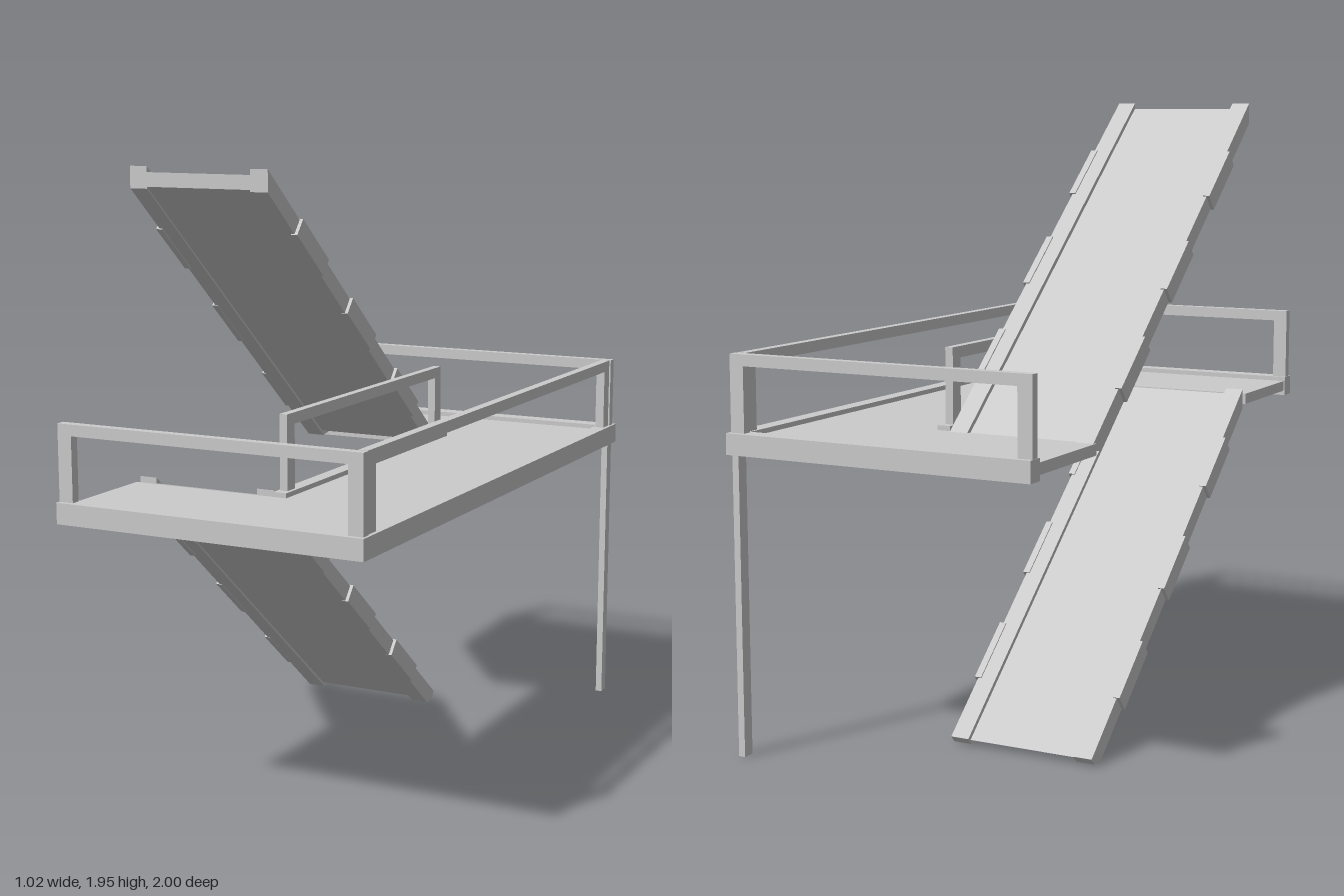
import * as THREE from 'three';

const material = new THREE.MeshStandardMaterial({ color: 0xcccccc, flatShading: true });

function add(parent, name, geometry) {
  const mesh = new THREE.Mesh(geometry, material);
  mesh.name = name;
  parent.add(mesh);
  return mesh;
}

// Box given by its limits on each axis
function box(parent, name, [x0, x1], [y0, y1], [z0, z1]) {
  const mesh = add(parent, name, new THREE.BoxGeometry(x1 - x0, y1 - y0, z1 - z0));
  mesh.position.set((x0 + x1) / 2, (y0 + y1) / 2, (z0 + z1) / 2);
  return mesh;
}

// Extrude a [z, y] outline sideways from x0 to x1
function sideProfile(points, x0, x1) {
  const shape = new THREE.Shape(points.map(([z, y]) => new THREE.Vector2(z, y)));
  return new THREE.ExtrudeGeometry(shape, { depth: x1 - x0, bevelEnabled: false })
    .rotateY(-Math.PI / 2)
    .translate(x1, 0, 0);
}

const DECK_LOW = 0.925, DECK_TOP = 0.99;
const SLOPE = 0.832;

// Hoop railing running along z, centred on its own origin
function createRailing(name, length, thickness = 0.03) {
  const rail = new THREE.Group();
  rail.name = name;
  const t = [-thickness / 2, thickness / 2], half = length / 2;
  box(rail, 'railTopBar', t, [1.19, 1.225], [-half, half]);
  for (const s of [-1, 1]) {
    const z = s * (half - 0.0235);
    box(rail, 'railPost', t, [DECK_TOP - 0.01, 1.19], [z - 0.0235, z + 0.0235]);
  }
  return rail;
}

// Sloping ramp: two stringers, a recessed panel and outer clamp blocks
function createRamp(name, endZ) {
  const ramp = new THREE.Group();
  ramp.name = name;
  const top = z => 0.521 + SLOPE * z, low = z => 0.453 + SLOPE * z;

  const stringer = [
    [-0.594, top(-0.594)], [-0.575, 0.006], [-0.538, 0],
    [endZ, low(endZ)], [endZ, top(endZ)],
  ].reverse();
  const panel = [
    [-0.58, top(-0.58) - 0.018], [-0.53, low(-0.53) + 0.006],
    [endZ, low(endZ) + 0.006], [endZ, top(endZ) - 0.018],
  ].reverse();
  // Outlines run anticlockwise so the faces point outwards
  add(ramp, 'rampPanel', sideProfile(panel.reverse(), -0.445, -0.075));
  stringer.reverse();
  for (const [x0, x1, bx] of [[-0.5, -0.44, -0.5], [-0.08, -0.02, -0.02]]) {
    add(ramp, 'stringer', sideProfile(stringer, x0, x1));
    for (const z of [-0.324, 0, 0.328]) {
      const block = add(ramp, 'clampBlock', new THREE.BoxGeometry(0.022, 0.06, 0.215));
      block.position.set(bx, 0.487 + SLOPE * z, z);
      block.rotation.x = -Math.atan(SLOPE);
    }
  }
  return ramp;
}

export function createModel() {
  const model = new THREE.Group();
  model.name = 'rampPlatform';

  // U-shaped deck plate
  const deck = new THREE.Shape([
    [-0.505, -0.99], [0.495, -0.99], [0.495, 0.99], [-0.505, 0.99],
    [-0.505, 0.58], [-0.01, 0.58], [-0.01, -0.58], [-0.505, -0.58],
  ].map(([x, z]) => new THREE.Vector2(x, -z)));
  const plate = new THREE.ExtrudeGeometry(deck, { depth: 0.035, bevelEnabled: false });
  add(model, 'deckPlate', plate.rotateX(-Math.PI / 2)).position.y = 0.94;

  // Edge beams and the kerb along the opening
  const deckY = [DECK_LOW, DECK_TOP];
  box(model, 'frontBeam', [-0.51, 0.505], deckY, [0.945, 1]);
  box(model, 'backBeam', [-0.51, 0.505], deckY, [-1, -0.945]);
  box(model, 'sideBeam', [0.455, 0.505], deckY, [-0.945, 0.945]);
  box(model, 'openingKerb', [-0.015, 0.03], deckY, [-0.58, 0.58]);

  // Railings
  const sideRailing = createRailing('sideRailing', 1.9);
  sideRailing.position.x = 0.478;
  const innerRailing = createRailing('innerRailing', 1.1, 0.026);
  innerRailing.position.x = 0.005;
  model.add(sideRailing, innerRailing);
  for (const [name, z] of [['frontRailing', 0.97], ['backRailing', -0.97]]) {
    const railing = createRailing(name, 1.005);
    railing.rotation.y = Math.PI / 2;
    railing.position.set(-0.006, 0, z);
    model.add(railing);
  }

  // Single support leg
  box(model, 'supportLeg', [0.472, 0.494], [0, DECK_LOW + 0.01], [-0.985, -0.947]);

  // Lower and upper ramps
  const upper = createRamp('upperRamp', 0.586);
  upper.position.y = 0.946;
  model.add(createRamp('lowerRamp', 0.566), upper);

  return model;
}
